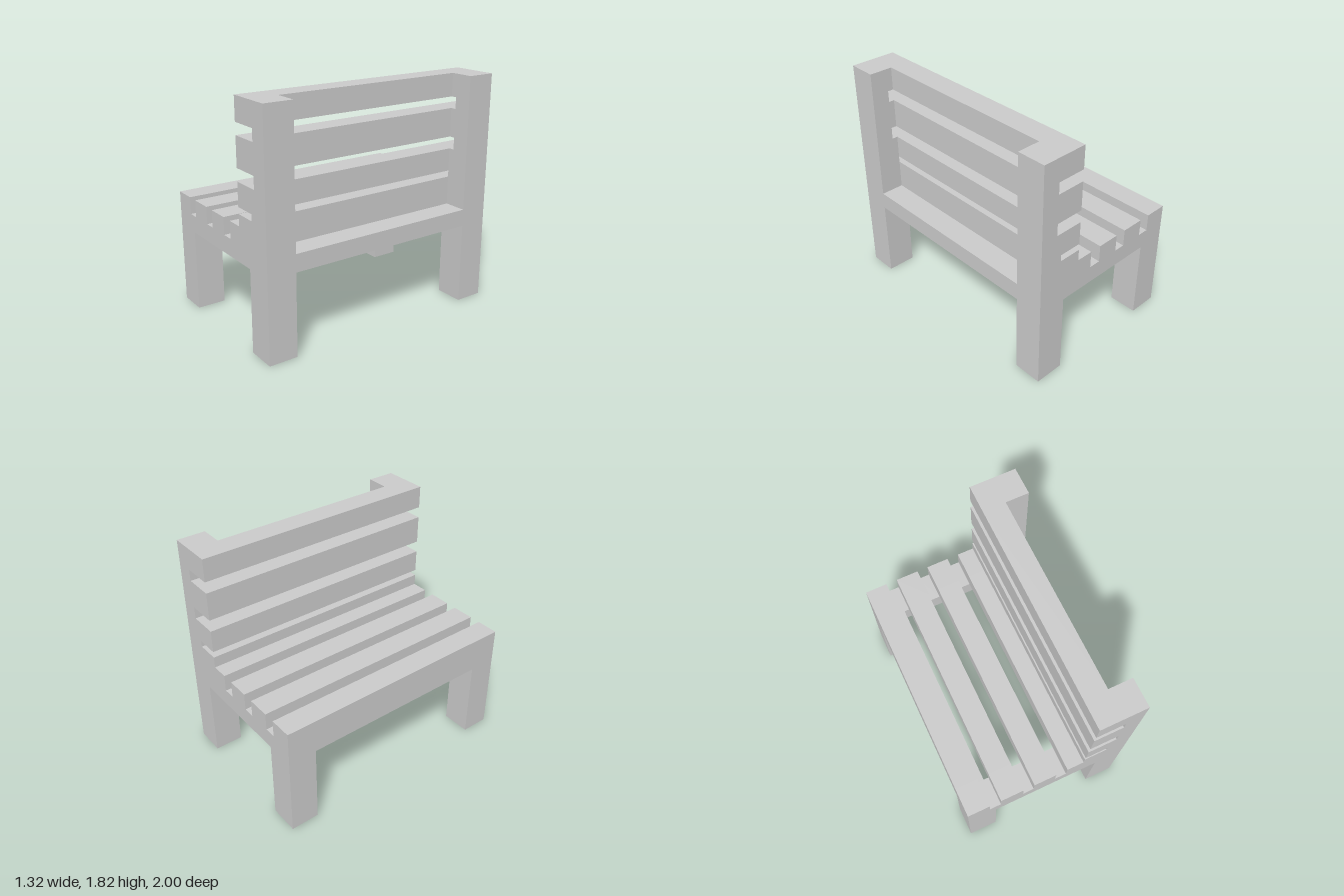
import * as THREE from 'three';

const HALF = 1;        // half length of the bench along z
const INNER = 0.775;   // inner face of the end frames

// Extrudes an x/y outline between two z positions
function prism(name, points, z0, z1, material) {
  const shape = new THREE.Shape(points.map(([x, y]) => new THREE.Vector2(x, y)));
  const geometry = new THREE.ExtrudeGeometry(shape, { depth: z1 - z0, bevelEnabled: false });
  geometry.translate(0, 0, z0);
  const mesh = new THREE.Mesh(geometry, material);
  mesh.name = name;
  return mesh;
}

const rect = (x0, x1, y0, y1) => [[x0, y0], [x1, y0], [x1, y1], [x0, y1]];

export function createModel() {
  const group = new THREE.Group();
  group.name = 'slattedBench';
  const material = new THREE.MeshStandardMaterial({ color: 0xcccccc, flatShading: true });

  // End frame outline: legs, side rail and post, notched between the slats
  const outline = [
    [-0.66, 0], [-0.43, 0], [-0.43, 0.64], [0.43, 0.64], [0.43, 0], [0.66, 0], [0.66, 1.82],
    [0.295, 1.82], [0.295, 1.64], [0.52, 1.64], [0.52, 1.55],
    [0.295, 1.55], [0.295, 1.325], [0.52, 1.325], [0.52, 1.23],
    [0.295, 1.23], [0.295, 1.05], [0.475, 1.05], [0.475, 1.0],
    [0.295, 1.0], [0.295, 0.91], [0.16, 0.91], [0.16, 0.775],
    [0.065, 0.775], [0.065, 0.91], [-0.115, 0.91], [-0.115, 0.775],
    [-0.205, 0.775], [-0.205, 0.91], [-0.39, 0.91], [-0.39, 0.775],
    [-0.48, 0.775], [-0.48, 0.91], [-0.66, 0.91],
  ];
  group.add(prism('leftEndFrame', outline, INNER, HALF, material));
  group.add(prism('rightEndFrame', outline, -HALF, -INNER, material));

  // Long members spanning between the end frames
  const bars = {
    // stepped rail that carries the first seat slat
    frontRail: [[-0.66, 0.64], [-0.43, 0.64], [-0.43, 0.775], [-0.48, 0.775], [-0.48, 0.91], [-0.66, 0.91]],
    backRail: rect(0.43, 0.66, 0.64, 0.775),
    seatSlat1: rect(-0.39, -0.205, 0.775, 0.91),
    seatSlat2: rect(-0.115, 0.065, 0.775, 0.91),
    // last seat slat joined to the lowest back slat
    cornerSlat: [[0.16, 0.775], [0.475, 0.775], [0.475, 1.0], [0.295, 1.0], [0.295, 0.91], [0.16, 0.91]],
    backSlat1: rect(0.295, 0.475, 1.05, 1.23),
    backSlat2: rect(0.295, 0.475, 1.325, 1.55),
    backSlat3: rect(0.295, 0.475, 1.64, 1.82),
  };
  for (const [name, points] of Object.entries(bars)) {
    group.add(prism(name, points, -INNER, INNER, material));
  }
  return group;
}
